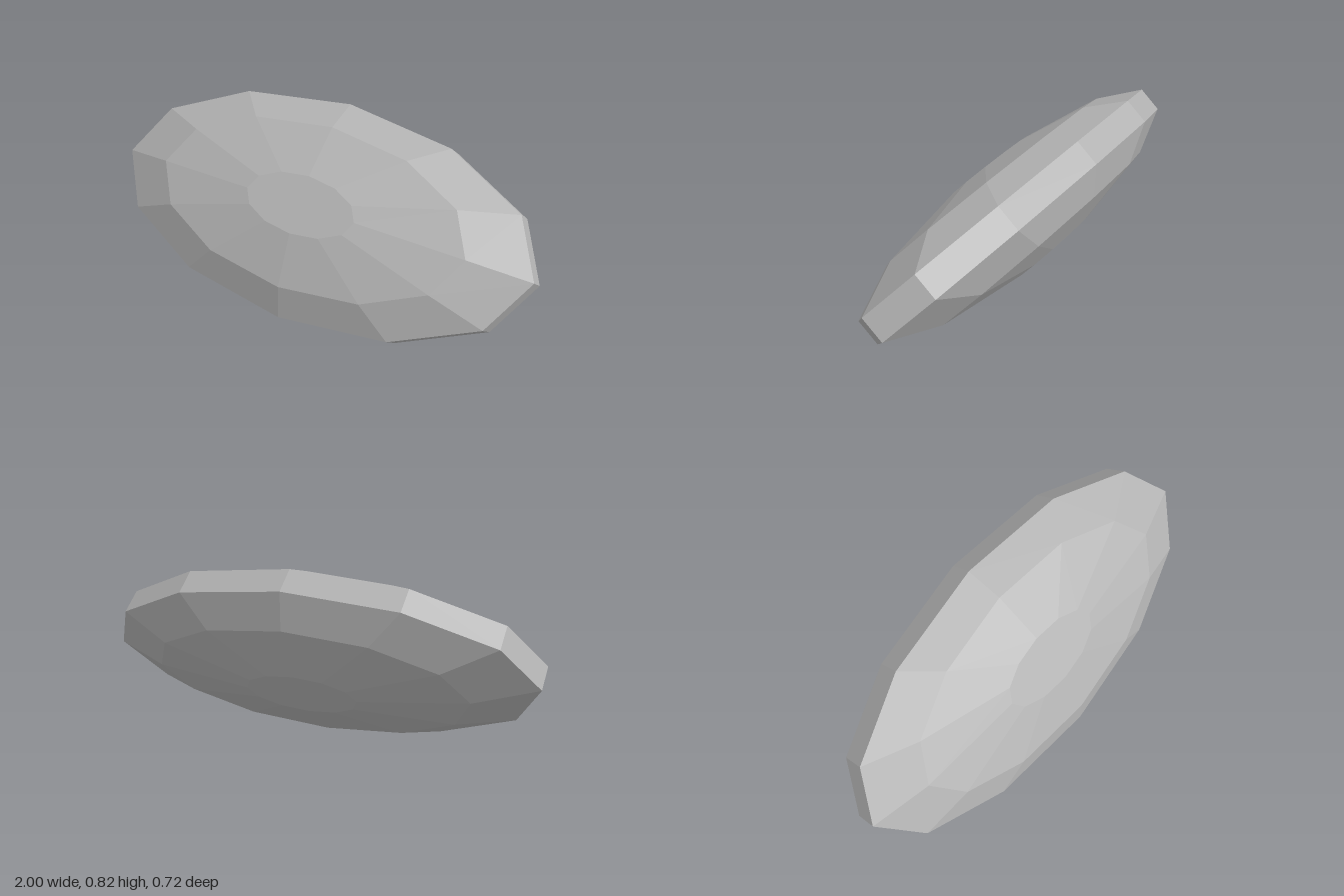
import * as THREE from 'three';

export function createModel() {
  const group = new THREE.Group();
  group.name = 'facetedStone';

  const stoneGrey = new THREE.MeshStandardMaterial({ color: 0xb4b4b4, flatShading: true });
  stoneGrey.name = 'stoneGrey';

  // Half profile from the flat cap to the rim: radius, height
  const half = [[0, 0.225], [0.26, 0.225], [0.735, 0.162], [1, 0.06]];
  const profile = [
    ...half.map(([r, h]) => new THREE.Vector2(r, -h)),
    ...half.slice().reverse().map(([r, h]) => new THREE.Vector2(r, h)),
  ];

  // Twelve-sided lens, squashed to an oval and tilted towards the front
  const geometry = new THREE.LatheGeometry(profile, 12).toNonIndexed();
  geometry.scale(1, 1, 0.488);
  geometry.rotateX(0.869);
  geometry.translate(0, 0.412, 0);
  geometry.computeVertexNormals();

  const stone = new THREE.Mesh(geometry, stoneGrey);
  stone.name = 'stone';
  group.add(stone);
  return group;
}
